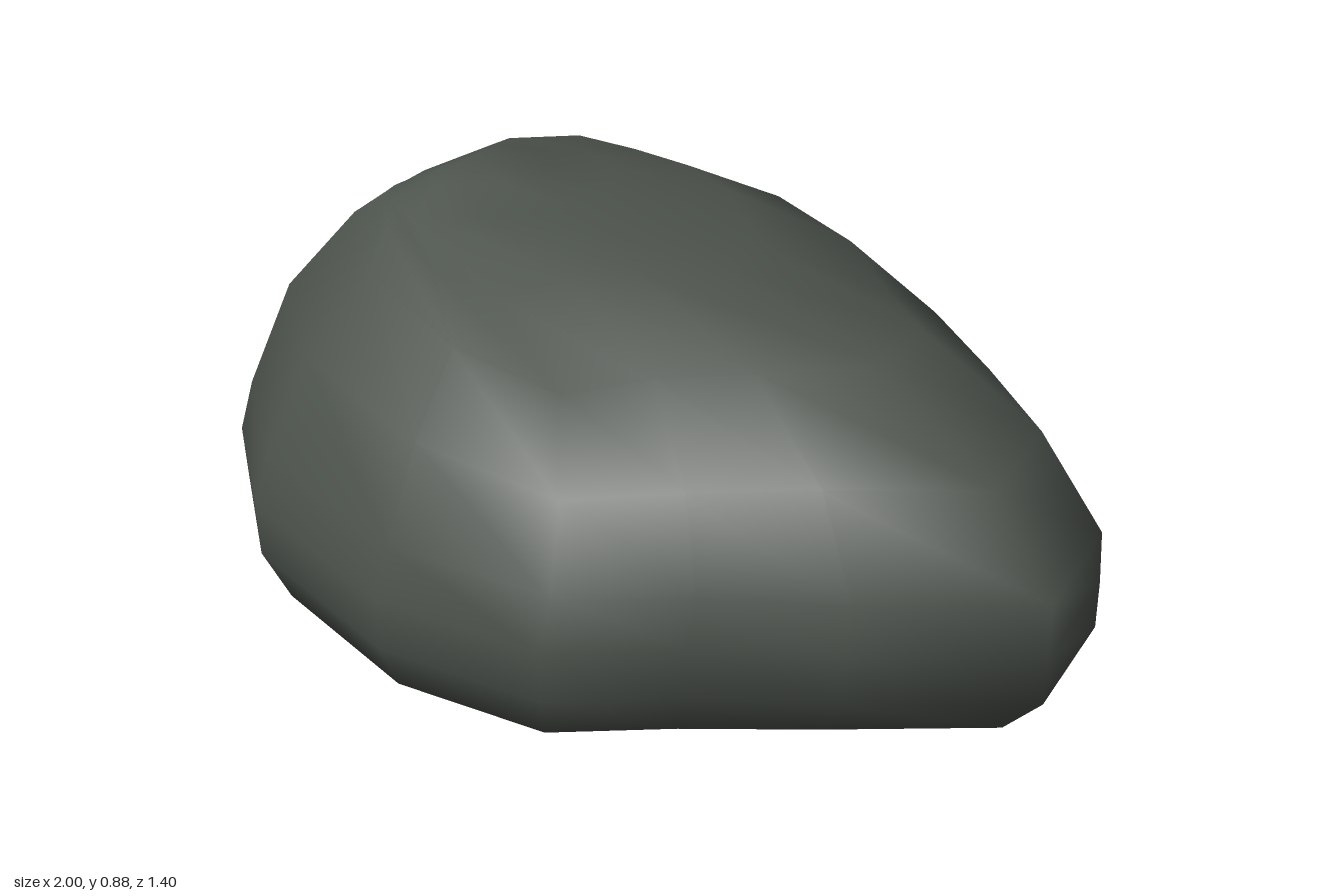
import * as THREE from 'three';

// Widest outline of the boulder as [x, z], running from the left tip round the back
const OUTLINE = [
  [-1, -0.32], [-0.8, -0.57], [-0.46, -0.65], [-0.11, -0.7], [0.27, -0.65], [0.57, -0.52],
  [0.86, -0.38], [1, -0.1], [0.77, 0.18], [0.57, 0.38], [0.41, 0.59], [0.06, 0.7],
  [-0.4, 0.66], [-0.71, 0.49], [-0.8, 0.24], [-0.87, 0],
];

// Cross-sections: height, the extents the outline is fitted into,
// and an optional rise or fall at each outline point
const RINGS = [
  { y: 0, x: [-0.75, 0.68], z: [-0.55, 0.48] },
  { y: 0.07, x: [-0.92, 0.88], z: [-0.67, 0.64],
    lift: [0.03, 0.02, 0, -0.01, -0.01, 0, 0, 0.01, 0.01, 0, 0, 0, 0, 0, 0.01, 0.02] },
  { y: 0.18, x: [-0.98, 0.985], z: [-0.7, 0.7] },
  { y: 0.28, x: [-1, 0.995], z: [-0.695, 0.7] },
  { y: 0.39, x: [-0.97, 1], z: [-0.675, 0.68] },
  { y: 0.57, x: [-0.87, 0.87], z: [-0.58, 0.595],
    lift: [0.01, 0, 0, 0, 0, 0, 0, 0, 0, -0.02, -0.03, 0, 0.02, 0.04, 0.04, 0.03] },
  { y: 0.725, x: [-0.72, 0.59], z: [-0.45, 0.45],
    lift: [0.01, 0, 0, 0, -0.01, -0.03, -0.02, -0.005, -0.025, -0.045, -0.075, -0.04, 0.01, 0.04, 0.045, 0.03] },
  { y: 0.785, x: [-0.62, 0.17], z: [-0.32, 0.36],
    lift: [0, 0, 0, 0, 0, 0, 0, 0, -0.005, -0.02, -0.05, -0.03, 0, 0.015, 0.02, 0.015] },
  { y: 0.805, x: [-0.57, -0.18], z: [-0.18, 0.3] },
  { y: 0.84, x: [-0.49, -0.3], z: [-0.05, 0.21] },
];
const PEAK = [-0.4, 0.875, 0.11];

const ringPoints = ({ y, x, z, lift }) => OUTLINE.map(([ox, oz], i) => [
  THREE.MathUtils.mapLinear(ox, -1, 1, x[0], x[1]),
  y + (lift ? lift[i] : 0),
  THREE.MathUtils.mapLinear(oz, -0.7, 0.7, z[0], z[1]),
]);

function makeGeometry(points, index) {
  const geometry = new THREE.BufferGeometry();
  geometry.setAttribute('position', new THREE.Float32BufferAttribute(points.flat(), 3));
  geometry.setIndex(index);
  geometry.computeVertexNormals();
  return geometry;
}

// Smooth skin through all rings, closed at the peak
function bodyGeometry() {
  const n = OUTLINE.length;
  const points = [...RINGS.flatMap(ringPoints), PEAK];
  const index = [];
  for (let r = 0; r < RINGS.length; r++) {
    for (let j = 0; j < n; j++) {
      const k = (j + 1) % n;
      const a = r * n + j, b = r * n + k;
      if (r === RINGS.length - 1) index.push(a, points.length - 1, b);
      else index.push(a, a + n, b + n, a, b + n, b);
    }
  }
  return makeGeometry(points, index);
}

// Flat underside with its own normals, so its rim stays sharp
function baseGeometry() {
  const n = OUTLINE.length;
  const index = [];
  for (let j = 0; j < n; j++) index.push(n, j, (j + 1) % n);
  return makeGeometry([...ringPoints(RINGS[0]), [0, 0, 0]], index);
}

export function createModel() {
  const group = new THREE.Group();
  group.name = 'boulder';
  const stone = new THREE.MeshStandardMaterial({ color: 0x4d534d });
  stone.name = 'dark stone';

  const body = new THREE.Mesh(bodyGeometry(), stone);
  body.name = 'boulderBody';
  const base = new THREE.Mesh(baseGeometry(), stone);
  base.name = 'flatBase';
  group.add(body, base);
  return group;
}
